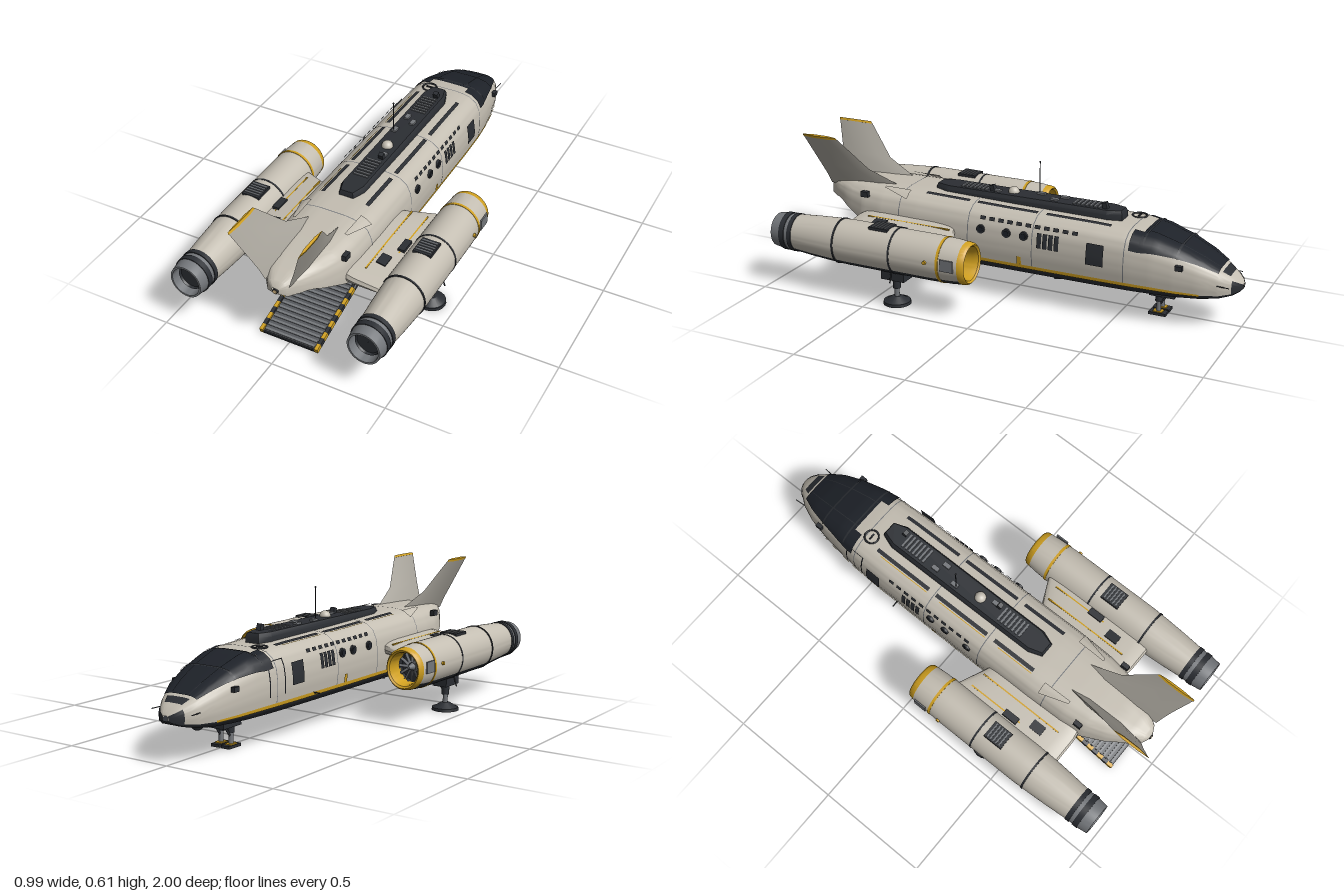
import * as THREE from 'three';
import { toCreasedNormals } from 'three/addons/utils/BufferGeometryUtils.js';

const HULL = 0xc4beb2, DARK = 0x2b2e33, GLASS = 0x1e2229, GOLD = 0xd0a020, GREY = 0x74777b;
const SIDES = [1, -1];

function add(parent, name, geo, color, pos = [0, 0, 0], rot = [0, 0, 0]) {
  const mat = new THREE.MeshStandardMaterial({ color, side: THREE.DoubleSide });
  const m = new THREE.Mesh(geo, mat);
  m.name = name;
  m.position.set(...pos);
  m.rotation.set(...rot);
  parent.add(m);
  return m;
}
const box = (p, name, color, size, pos, rot) => add(p, name, new THREE.BoxGeometry(...size), color, pos, rot);
const cyl = (p, name, color, r0, r1, h, pos, rot, n = 20) => add(p, name, new THREE.CylinderGeometry(r0, r1, h, n), color, pos, rot);

// straight rod between two points
function rod(p, name, color, a, b, r) {
  const A = new THREE.Vector3(...a), B = new THREE.Vector3(...b);
  return add(p, name, new THREE.TubeGeometry(new THREE.LineCurve3(A, B), 1, r, 8), color);
}

// skin over rows of points
function loft(rows, closed = false, caps = false) {
  const n = rows[0].length, idx = [], last = closed ? n : n - 1;
  for (let i = 0; i < rows.length - 1; i++) for (let j = 0; j < last; j++) {
    const a = i * n + j, b = i * n + (j + 1) % n;
    idx.push(a, b, a + n, b, b + n, a + n);
  }
  if (caps) for (let j = 1; j < n - 1; j++) {
    const e = (rows.length - 1) * n;
    idx.push(0, j + 1, j, e, e + j, e + j + 1);
  }
  const g = new THREE.BufferGeometry();
  g.setAttribute('position', new THREE.Float32BufferAttribute(rows.flat(2), 3));
  g.setIndex(idx);
  g.computeVertexNormals();
  return toCreasedNormals(g, 0.6);
}

// fuselage stations: z, half width, bottom, top
const STATIONS = [
  [-1, 0.012, 0.172, 0.192], [-0.99, 0.035, 0.163, 0.205], [-0.965, 0.062, 0.15, 0.224], [-0.92, 0.095, 0.14, 0.252],
  [-0.85, 0.125, 0.133, 0.292], [-0.75, 0.149, 0.13, 0.336], [-0.65, 0.165, 0.13, 0.368], [-0.55, 0.175, 0.13, 0.384],
  [-0.4, 0.18, 0.13, 0.391], [0, 0.183, 0.13, 0.396], [0.43, 0.185, 0.13, 0.406], [0.6, 0.18, 0.13, 0.406],
  [0.7, 0.165, 0.14, 0.404], [0.8, 0.128, 0.18, 0.4], [0.88, 0.08, 0.25, 0.388], [0.925, 0.045, 0.29, 0.368], [0.94, 0.015, 0.32, 0.345]];
// half section from top centre to bottom centre; 8 is the belt line
const PROFILE = [[0, 1], [0.3, 1], [0.5, 0.985], [0.68, 0.95], [0.86, 0.85], [0.96, 0.68], [1, 0.45], [1, 0.25], [0.96, 0], [0.93, -0.35], [0.78, -1], [0, -1]];

function sample(z) {
  let i = 0;
  while (i < STATIONS.length - 2 && z > STATIONS[i + 1][0]) i++;
  const a = STATIONS[i], b = STATIONS[i + 1], t = (z - a[0]) / (b[0] - a[0]);
  return a.map((v, k) => v + (b[k] - v) * t);
}
function hullPoint(z, s, off = 0) {
  const [, w, bot, top] = sample(z), i = Math.min(Math.floor(s), PROFILE.length - 2);
  const [u, v] = [0, 1].map(k => THREE.MathUtils.lerp(PROFILE[i][k], PROFILE[i + 1][k], s - i));
  const belt = bot + 0.14 * (top - bot);
  let y = belt + v * (v > 0 ? top - belt : belt - bot);
  // slanted rear loading opening
  if (z > 0.43) y = Math.max(y, Math.min(0.13 + (z - 0.43) * 0.43, 0.31));
  return [w * u + off * u, y + off * (v * 2 - 1), z];
}
// strip of hull skin; its lower edge may run from s1 to sEnd
function patch(p, name, color, z0, z1, s0, s1, off = 0.003, sEnd = s1, sides = SIDES) {
  const zs = [z0, z1, ...STATIONS.map(a => a[0]).filter(z => z > z0 && z < z1)];
  for (let z = z0 + 0.03; z < z1; z += 0.03) zs.push(z);
  zs.sort((a, b) => a - b);
  const n = Math.max(2, Math.ceil((s1 - s0) * 3));
  for (const side of sides) {
    const rows = zs.map(z => {
      const e = s1 + (sEnd - s1) * (z - z0) / (z1 - z0);
      return Array.from({ length: n + 1 }, (_, k) => {
        const [x, y, q] = hullPoint(z, s0 + (e - s0) * k / n, off);
        return [side * x, y, q];
      });
    });
    add(p, name, loft(rows), color);
  }
}

function fuselage(g) {
  patch(g, 'upperHull', HULL, -1, 0.94, 0, 8, 0);
  patch(g, 'belly', DARK, -1, 0.43, 8, 11, 0);
  patch(g, 'tailUnderside', HULL, 0.8, 0.94, 8, 11, 0);
  patch(g, 'noseTip', DARK, -1, -0.965, 4, 8);
  patch(g, 'nosePanel', DARK, -0.955, -0.925, 0, 2.5);
  patch(g, 'canopy', GLASS, -0.915, -0.6, 0, 3.6, 0.005, 4.9);
  patch(g, 'canopyRear', GLASS, -0.6, -0.56, 2, 4.9, 0.005);
  for (const z of [-0.76, -0.62]) patch(g, 'canopyFrame', DARK, z, z + 0.008, 0, 4.3, 0.008);
  patch(g, 'canopySpar', DARK, -0.91, -0.6, 1.4, 1.5, 0.008);
  patch(g, 'beltStripe', GOLD, -0.85, 0.43, 7.75, 8.05);
  // roof walkways and trim
  for (const [a, b] of [[-0.46, -0.17], [-0.13, 0.15], [0.19, 0.4]]) {
    patch(g, 'roofStrip', DARK, a, b, 2.0, 2.5, 0.004);
    patch(g, 'roofTrim', GOLD, a + 0.03, b, 2.65, 2.75, 0.004, 2.75, [-1]);
  }
  for (const z of [-0.545, -0.14, 0.16, 0.5]) patch(g, 'panelSeam', GREY, z, z + 0.004, 0, 8, 0.002);
  // side fittings
  for (const z of [0.1, -0.02, -0.1]) for (const s of SIDES) {
    cyl(g, 'porthole', DARK, 0.019, 0.019, 0.016, [s * 0.177, 0.308, z], [0, 0, Math.PI / 2]);
    cyl(g, 'portholeGlass', GLASS, 0.012, 0.012, 0.02, [s * 0.177, 0.308, z], [0, 0, Math.PI / 2]);
  }
  for (let i = 0; i < 4; i++) patch(g, 'sideGrille', DARK, -0.26 + i * 0.026, -0.24 + i * 0.026, 4.8, 6.0, 0.006);
  patch(g, 'sideHatch', DARK, -0.46, -0.385, 4.9, 6.6, 0.012);
  for (let i = 0; i < 11; i++) patch(g, 'roofEdgeVent', DARK, -0.34 + i * 0.042, -0.315 + i * 0.042, 4.1, 4.45, 0.008);
  patch(g, 'lowerLocker', GOLD, -0.09, -0.07, 7.1, 7.7, 0.005);
  for (const z of [-0.59, -0.5]) patch(g, 'doorEdge', DARK, z, z + 0.006, 4.2, 7.2, 0.004, 7.2, [-1]);
  patch(g, 'doorTop', DARK, -0.59, -0.494, 4.2, 4.28, 0.004, 4.28, [-1]);
  for (const s of SIDES) {
    box(g, 'tailLamp', DARK, [0.02, 0.025, 0.035], [s * 0.162, 0.372, 0.68]);
    box(g, 'noseSensor', DARK, [0.018, 0.02, 0.03], [s * 0.148, 0.27, -0.77]);
    rod(g, 'noseProbe', DARK, [s * 0.095, 0.2, -0.9], [s * 0.1, 0.2, -0.965], 0.002);
  }
  rod(g, 'sideProbe', DARK, [-0.17, 0.175, -0.3], [-0.205, 0.175, -0.3], 0.003);
  add(g, 'roofHatch', new THREE.TorusGeometry(0.031, 0.004, 8, 28), DARK, [-0.07, 0.386, -0.52], [Math.PI / 2, 0, 0]);
  box(g, 'hatchHandle', DARK, [0.03, 0.006, 0.006], [-0.07, 0.387, -0.52]);
  add(g, 'chinSensor', new THREE.SphereGeometry(0.027, 18, 12), DARK, [0, 0.126, -0.82]);
  box(g, 'bellyAerial', DARK, [0.03, 0.035, 0.035], [0.06, 0.113, -0.21], [0.2, 0, 0]);
  cyl(g, 'bellyHatch', GREY, 0.03, 0.03, 0.012, [0, 0.128, -0.35]);
  cyl(g, 'tailLightRim', DARK, 0.012, 0.012, 0.02, [0, 0.332, 0.934], [Math.PI / 2, 0, 0]);
  cyl(g, 'tailLight', 0xe8c890, 0.008, 0.008, 0.024, [0, 0.332, 0.934], [Math.PI / 2, 0, 0]);
}

function spine(g) {
  const pts = [[0.03, -0.48], [0.05, -0.42], [0.05, 0.33], [0.03, 0.39], [-0.03, 0.39], [-0.05, 0.33], [-0.05, -0.42], [-0.03, -0.48]];
  const ring = (y, k) => pts.map(([x, z]) => [x * k, y, z * (k > 1 ? 1 : 0.985)]);
  add(g, 'spine', loft([ring(0.38, 1.1), ring(0.412, 1.1), ring(0.428, 0.92)], true, true), DARK);
  for (const z0 of [-0.375, 0.15]) for (let i = 0; i < 7; i++)
    box(g, 'spineVent', GREY, [0.068, 0.006, 0.009], [0, 0.43, z0 + i * 0.019]);
  for (const [x, z] of [[-0.02, -0.2], [0.02, -0.17], [-0.025, -0.09], [0.02, 0.1]])
    box(g, 'spineBox', GREY, [0.02, 0.012, 0.035], [x, 0.43, z]);
  for (const z of [-0.4, 0.12]) box(g, 'spineCamera', DARK, [0.022, 0.03, 0.02], [0.02, 0.438, z], [0.3, 0, 0]);
  add(g, 'radarDome', new THREE.SphereGeometry(0.025, 24, 14), HULL, [0, 0.428, 0.03]);
  rod(g, 'antenna', DARK, [-0.028, 0.42, -0.08], [-0.028, 0.57, -0.08], 0.0022);
  add(g, 'antennaTip', new THREE.SphereGeometry(0.004, 8, 6), DARK, [-0.028, 0.57, -0.08]);
}

// wings run outward in x, fins upward and outward
function wingsAndFins(g) {
  for (const s of SIDES) {
    const wingRow = (x, z0, z1, lo, hi) => Array.from({ length: 20 }, (_, i) => {
      const a = i / 20 * Math.PI * 2, c = Math.cos(a), q = Math.sin(a);
      return [s * x, (lo + hi) / 2 + (hi - lo) / 2 * Math.sign(q) * Math.abs(q) ** 0.6, (z0 + z1) / 2 - (z1 - z0) / 2 * Math.sign(c) * Math.abs(c) ** 0.55];
    });
    add(g, 'wing', loft([wingRow(0.14, 0.24, 0.69, 0.235, 0.31), wingRow(0.2, 0.215, 0.7, 0.238, 0.302), wingRow(0.34, 0.15, 0.7, 0.243, 0.28)], true), HULL);
    box(g, 'wingStripe', GOLD, [0.006, 0.006, 0.4], [s * 0.22, 0.296, 0.43], [0, 0, -s * 0.15]);
    box(g, 'wingStripe', GOLD, [0.006, 0.006, 0.26], [s * 0.288, 0.285, 0.35], [0, 0, -s * 0.15]);
    box(g, 'wingBox', DARK, [0.03, 0.02, 0.07], [s * 0.292, 0.288, 0.435]);
    box(g, 'wingVent', DARK, [0.042, 0.012, 0.06], [s * 0.258, 0.291, 0.55], [0, 0, -s * 0.15]);

    const finRow = (x, y, z0, z1, t) => [[0, 0], [0.25, t], [0.7, t], [1, 0.001], [0.7, -t], [0.25, -t]]
      .map(([k, d]) => [s * (x + d), y - d * 0.4, z0 + (z1 - z0) * k]);
    add(g, 'tailFin', loft([finRow(0.052, 0.36, 0.5, 0.925, 0.016), finRow(0.068, 0.405, 0.57, 0.935, 0.013),
      finRow(0.094, 0.465, 0.7, 0.953, 0.009), finRow(0.147, 0.597, 0.823, 0.998, 0.004)], true, true), 0xa9a59c);
    add(g, 'finTip', loft([finRow(0.146, 0.595, 0.822, 1, 0.006), finRow(0.15, 0.605, 0.832, 1, 0.005)], true, true), GOLD);
    patch(g, 'finFairing', HULL, 0.47, 0.6, 2.5, 3.9, 0.009, 2.9, [s]);
  }
}

// open rear hold with cargo and lowered ramp
function hold(g) {
  patch(g, 'holdLining', DARK, 0.25, 0.83, 0, 8, -0.009);
  box(g, 'holdBulkhead', DARK, [0.33, 0.2, 0.01], [0, 0.235, 0.25]);
  box(g, 'holdFloor', DARK, [0.29, 0.012, 0.19], [0, 0.137, 0.34]);
  box(g, 'holdDoor', GREY, [0.055, 0.15, 0.01], [-0.018, 0.215, 0.258]);
  for (let i = 0; i < 4; i++) box(g, 'doorRib', DARK, [0.045, 0.004, 0.006], [-0.018, 0.17 + i * 0.033, 0.264]);
  box(g, 'darkCrate', 0x35383d, [0.105, 0.068, 0.09], [0.068, 0.178, 0.33]);
  box(g, 'upperCrate', GOLD, [0.085, 0.06, 0.07], [0.072, 0.243, 0.32]);
  for (const y of [0.155, 0.18]) box(g, 'lowerCrate', GOLD, [0.07, 0.022, 0.08], [-0.08, y, 0.33]);
  box(g, 'holdLamp', 0xe0a870, [0.018, 0.012, 0.01], [-0.078, 0.267, 0.258]);

  const ramp = new THREE.Group();
  ramp.name = 'ramp';
  ramp.position.set(0, 0.14, 0.43);
  ramp.rotation.x = 0.272;
  g.add(ramp);
  box(ramp, 'rampPlate', DARK, [0.265, 0.014, 0.46], [0, -0.008, 0.23]);
  box(ramp, 'rampDeck', 0x55585c, [0.232, 0.004, 0.45], [0, 0, 0.23]);
  for (let i = 0; i < 20; i++) box(ramp, 'rampCleat', GREY, [0.228, 0.005, 0.01], [0, 0.003, 0.018 + i * 0.0225]);
  for (const s of SIDES) for (let i = 0; i < 16; i++)
    box(ramp, 'rampRail', i % 2 ? GOLD : DARK, [0.016, 0.02, 0.0288], [s * 0.126, -0.002, 0.0144 + i * 0.0288]);
  for (const s of SIDES) rod(g, 'rampPiston', GREY, [s * 0.14, 0.21, 0.5], [s * 0.133, 0.105, 0.57], 0.005);
}

function engine(g, s) {
  const e = new THREE.Group();
  e.name = s > 0 ? 'leftEngine' : 'rightEngine';
  e.position.set(s * 0.396, 0.24, 0);
  g.add(e);
  const turn = (name, color, pts, from = 0, len = Math.PI * 2) => {
    const geo = new THREE.LatheGeometry(pts.map(p => new THREE.Vector2(...p)), 40, from, len);
    geo.rotateX(Math.PI / 2).scale(1, 1.05, 1);
    return add(e, name, toCreasedNormals(geo, 0.6), color);
  };
  const shell = [[0.086, 0.055], [0.09, 0.1], [0.093, 0.2], [0.093, 0.6], [0.09, 0.68], [0.084, 0.78], [0.076, 0.88]], a = 0.87;
  turn('engineLowerShell', DARK, shell, -a, 2 * a);
  turn('engineUpperShell', HULL, shell, a, Math.PI * 2 - 2 * a);
  turn('intakeLip', GOLD, [[0.064, 0.11], [0.064, 0.06], [0.069, 0.035], [0.077, 0.028], [0.084, 0.036], [0.087, 0.057]]);
  turn('intakeWall', DARK, [[0.001, 0.13], [0.064, 0.13], [0.064, 0.1]]);
  const band = (name, color, z, w, r) => turn(name, color, [[r - 0.01, z], [r, z], [r, z + w], [r - 0.01, z + w]]);
  band('goldBand', GOLD, 0.14, 0.012, 0.0935);
  for (const z of [0.37, 0.645]) band('seamBand', DARK, z, 0.008, 0.0945);
  band('nozzleBand', DARK, 0.868, 0.02, 0.08);
  band('nozzleBand', DARK, 0.905, 0.025, 0.079);
  turn('nozzle', GREY, [[0.076, 0.88], [0.076, 0.93], [0.07, 0.975], [0.062, 0.975], [0.058, 0.9]]);
  turn('nozzleCore', DARK, [[0.06, 0.93], [0.052, 0.945], [0.048, 0.935], [0.001, 0.935]]);
  // intake fan
  cyl(e, 'fanHub', GREY, 0.02, 0.006, 0.05, [0, 0, 0.1], [Math.PI / 2, 0, 0]);
  for (let i = 0; i < 12; i++) {
    const t = i * Math.PI / 6;
    box(e, 'fanBlade', GREY, [0.045, 0.012, 0.004], [Math.cos(t) * 0.04, Math.sin(t) * 0.04, 0.105], [0.5 * Math.cos(t), 0.5 * Math.sin(t), t]);
  }
  // panels on top and outside
  box(e, 'topPanel', DARK, [0.08, 0.02, 0.09], [0, 0.09, 0.45]);
  for (let i = 0; i < 5; i++) box(e, 'topLouvre', GREY, [0.07, 0.004, 0.006], [0, 0.101, 0.42 + i * 0.015]);
  cyl(e, 'sideLamp', GOLD, 0.008, 0.008, 0.012, [s * 0.094, 0.01, 0.2], [0, 0, Math.PI / 2]);
  box(e, 'sidePanel', GREY, [0.006, 0.05, 0.06], [s * 0.092, 0.01, 0.1]);

  // landing leg under the engine
  const z = 0.39;
  box(e, 'legBay', DARK, [0.07, 0.05, 0.11], [0, -0.102, z]);
  cyl(e, 'legCylinder', DARK, 0.017, 0.017, 0.08, [0, -0.13, z]);
  cyl(e, 'legBand', GOLD, 0.018, 0.018, 0.012, [0, -0.124, z]);
  cyl(e, 'legPiston', GREY, 0.011, 0.011, 0.06, [0, -0.195, z]);
  cyl(e, 'footTop', DARK, 0.02, 0.052, 0.02, [0, -0.217, z]);
  cyl(e, 'foot', DARK, 0.058, 0.06, 0.013, [0, -0.2335, z]);
  rod(e, 'legBrace', DARK, [-s * 0.07, -0.07, z], [-s * 0.012, -0.15, z], 0.006);
  for (const k of SIDES) rod(e, 'bayDoorArm', DARK, [k * 0.04, -0.08, z], [k * 0.056, -0.13, z], 0.003);
}

function noseGear(g) {
  const z = -0.65;
  box(g, 'noseGearBay', DARK, [0.1, 0.05, 0.11], [0, 0.113, z - 0.02]);
  for (const s of SIDES) {
    cyl(g, 'noseLeg', GREY, 0.01, 0.01, 0.1, [s * 0.025, 0.06, z]);
    cyl(g, 'noseLegSleeve', DARK, 0.015, 0.015, 0.03, [s * 0.025, 0.075, z]);
    box(g, 'noseFoot', DARK, [0.042, 0.012, 0.075], [s * 0.025, 0.006, z]);
    box(g, 'noseFootTrim', GOLD, [0.03, 0.005, 0.04], [s * 0.025, 0.014, z]);
    rod(g, 'noseBrace', DARK, [s * 0.025, 0.1, z - 0.045], [s * 0.025, 0.04, z], 0.005);
  }
}

export function createModel() {
  const model = new THREE.Group();
  model.name = 'dropship';
  for (const [name, build] of Object.entries({ fuselage, spine, wingsAndFins, hold, noseGear })) {
    const g = new THREE.Group();
    g.name = name;
    build(g);
    model.add(g);
  }
  for (const s of SIDES) engine(model, s);
  return model;
}
